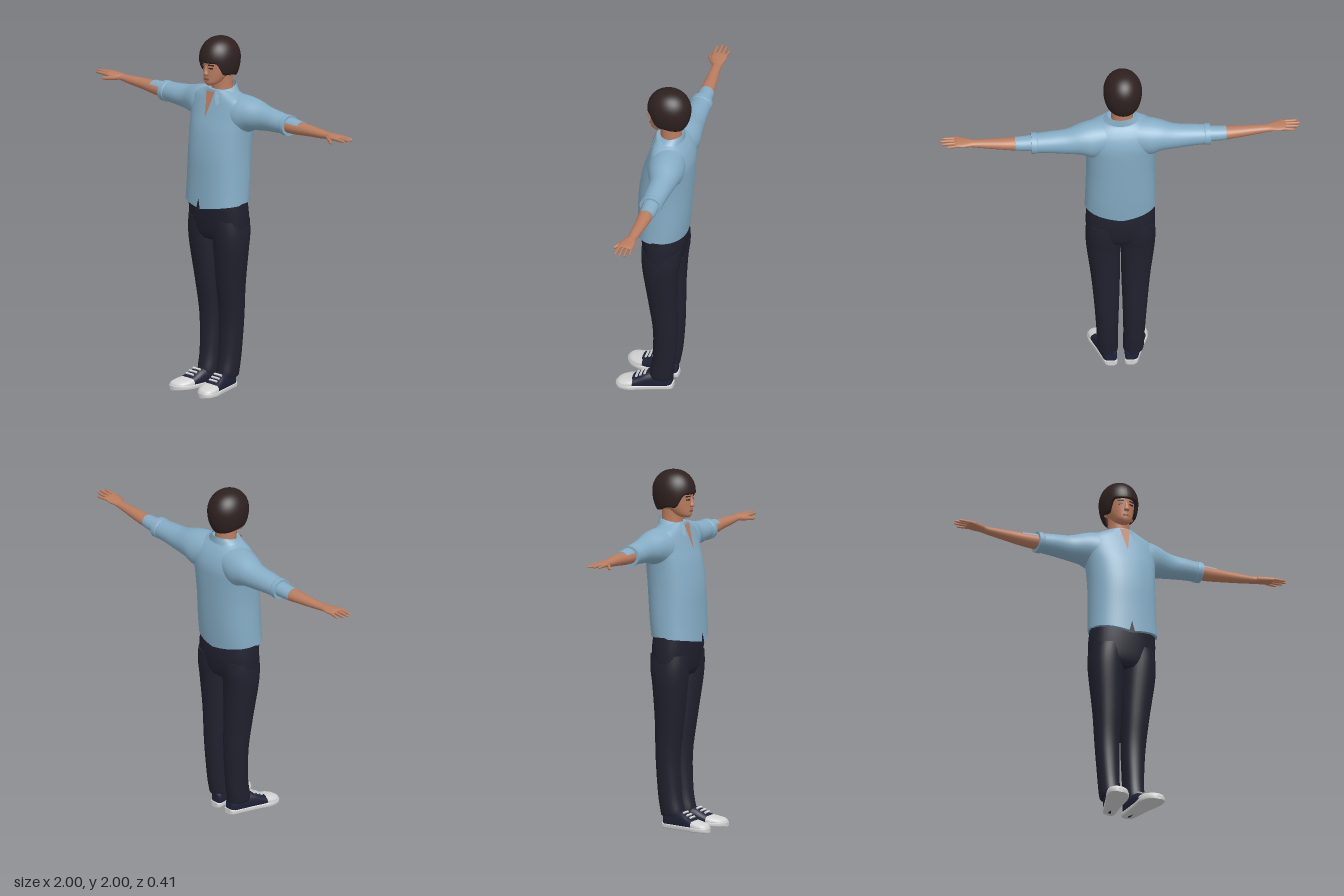
import * as THREE from 'three';

const mat = (name, color, side = THREE.FrontSide) => {
  const m = new THREE.MeshStandardMaterial({ color, side });
  m.name = name;
  return m;
};

// Catmull-Rom blend of neighbouring cross-section rows
function refine(rows, steps) {
  const out = [];
  const at = i => rows[Math.min(Math.max(i, 0), rows.length - 1)];
  for (let i = 0; i < rows.length - 1; i++) {
    for (let s = 0; s < steps; s++) {
      const t = s / steps, t2 = t * t, t3 = t2 * t;
      out.push(at(i).map((b, k) => {
        const a = at(i - 1)[k], c = at(i + 1)[k], d = at(i + 2)[k];
        return 0.5 * (2 * b + (c - a) * t + (2 * a - 5 * b + 4 * c - d) * t2 + (3 * b - a - 3 * c + d) * t3);
      }));
    }
  }
  out.push(rows[rows.length - 1].slice());
  return out;
}

// Rows are [position along axis, centreU, centreV, radiusU, radiusV]; n is the roundness exponent
function loft(axis, rows, { n = 2, seg = 32, steps = 4, bend } = {}) {
  const rings = refine(rows, steps), pos = [], idx = [];
  const place = (p, u, v) => {
    const q = axis === 'y' ? [u, p, v] : axis === 'x' ? [p, u, v] : [u, v, p];
    return bend ? bend(q) : q;
  };
  const tri = (a, b, c) => axis === 'y' ? idx.push(a, c, b) : idx.push(a, b, c);
  const sp = v => Math.sign(v) * Math.abs(v) ** (2 / n);
  const ring = ([p, cu, cv, ru, rv]) => {
    for (let j = 0; j < seg; j++) {
      const a = j / seg * Math.PI * 2;
      pos.push(...place(p, cu + Math.max(ru, 0.001) * sp(Math.cos(a)), cv + Math.max(rv, 0.001) * sp(Math.sin(a))));
    }
  };
  rings.forEach(ring);
  for (let i = 0; i < rings.length - 1; i++) for (let j = 0; j < seg; j++) {
    const k = (j + 1) % seg, a = i * seg + j, b = i * seg + k;
    tri(a, b, b + seg);
    tri(a, b + seg, a + seg);
  }
  // End caps with their own vertices keep the rim crisp
  for (const end of [0, rings.length - 1]) {
    const base = pos.length / 3, r = rings[end];
    ring(r);
    pos.push(...place(r[0], r[1], r[2]));
    for (let j = 0; j < seg; j++) {
      const a = base + j, b = base + (j + 1) % seg;
      end ? tri(base + seg, a, b) : tri(base + seg, b, a);
    }
  }
  return finish(pos, idx);
}

function finish(pos, idx) {
  const g = new THREE.BufferGeometry();
  g.setAttribute('position', new THREE.Float32BufferAttribute(pos, 3));
  g.setIndex(idx);
  g.computeVertexNormals();
  return g;
}

// Surface from a function of two parameters in 0..1
function grid(nu, nv, fn) {
  const pos = [], idx = [];
  for (let i = 0; i <= nv; i++) for (let j = 0; j <= nu; j++) pos.push(...fn(j / nu, i / nv));
  for (let i = 0; i < nv; i++) for (let j = 0; j < nu; j++) {
    const a = i * (nu + 1) + j, c = a + nu + 1;
    idx.push(a, c, a + 1, a + 1, c, c + 1);
  }
  return finish(pos, idx);
}

function mirrored(geo) {
  const g = geo.clone(), p = g.attributes.position, ix = g.index.array;
  for (let i = 0; i < p.count; i++) p.setX(i, -p.getX(i));
  for (let i = 0; i < ix.length; i += 3) [ix[i], ix[i + 1]] = [ix[i + 1], ix[i]];
  g.computeVertexNormals();
  return g;
}

export function createModel() {
  const root = new THREE.Group();
  root.name = 'standingMan';
  const shirt = mat('shirtBlue', 0x86adc6, THREE.DoubleSide);
  const denim = mat('trouserNavy', 0x20212e, THREE.DoubleSide);
  const skin = mat('skin', 0xbb7d5f, THREE.DoubleSide);
  const hair = mat('hairBrown', 0x2e2120, THREE.DoubleSide);
  const lip = mat('lips', 0x8c4c40);
  const white = mat('shoeWhite', 0xd2d2d2);
  const canvas = mat('shoeNavy', 0x1f2236);

  const add = (name, geo, m, x = 0) => {
    const mesh = new THREE.Mesh(geo, m);
    mesh.name = name;
    mesh.position.x = x;
    root.add(mesh);
    return mesh;
  };
  const pair = (name, geo, m, x = 0) => {
    add(name + 'Left', geo, m, x);
    add(name + 'Right', mirrored(geo), m, x);
  };
  const box = (w, h, d, x, y, z, rx = 0, ry = 0) =>
    new THREE.BoxGeometry(w, h, d).rotateX(rx).rotateY(ry).translate(x, y, z);
  const MID = -0.005, HEAD = -0.015;

  // Shirt body; the hem rises toward the sides
  add('shirtBody', loft('y', [
    [1.045, 0, -0.033, 0.197, 0.138], [1.2, 0, -0.043, 0.193, 0.143], [1.35, 0, -0.051, 0.19, 0.146],
    [1.48, 0, -0.065, 0.196, 0.14], [1.56, 0, -0.078, 0.208, 0.128], [1.62, 0, -0.08, 0.21, 0.11],
    [1.66, 0, -0.075, 0.185, 0.092], [1.69, 0, -0.068, 0.12, 0.075], [1.71, 0, -0.066, 0.075, 0.07],
  ], {
    n: 2.25, seg: 48,
    bend: ([x, y, z]) => [x, y + Math.max(0, 1.15 - y) / 0.105 * (0.16 * Math.abs(x) + (z < -0.03 ? 0.008 : 0)), z],
  }), shirt, MID);
  pair('sleeve', loft('x', [
    [0.05, 1.6, -0.085, 0.09, 0.095], [0.15, 1.582, -0.092, 0.107, 0.104], [0.22, 1.59, -0.101, 0.088, 0.09],
    [0.3, 1.585, -0.11, 0.07, 0.07], [0.4, 1.584, -0.108, 0.059, 0.063], [0.485, 1.582, -0.108, 0.053, 0.057],
  ]), shirt);
  pair('sleeveCuff', loft('x', [
    [0.462, 1.582, -0.107, 0.054, 0.058], [0.468, 1.582, -0.107, 0.058, 0.062], [0.495, 1.582, -0.107, 0.058, 0.062],
  ]), shirt);
  // Inner sleeve showing over the top and back of the forearm
  pair('innerSleeve', loft('x', [
    [0.48, 1.587, -0.11, 0.043, 0.047], [0.55, 1.586, -0.11, 0.039, 0.044], [0.585, 1.587, -0.109, 0.036, 0.041],
  ]), shirt);

  // Open collar with pointed front tips
  add('collar', grid(40, 4, (u, v) => {
    const gap = 0.3 + 0.25 * v, a = gap + u * (Math.PI * 2 - 2 * gap), c = Math.cos(a), f = Math.max(c, 0);
    const r = (p, q) => p + (q - p) * v;
    return [Math.sin(a) * r(0.074, 0.1), r(1.72 - 0.018 * c, 1.698 - 0.09 * f * f),
      -0.07 + c * r(0.08, c > 0 ? 0.118 : 0.084)];
  }), shirt, MID);
  const plate = (y0, y1, w0, w1, z0, z1) => grid(1, 4, (u, v) => [
    (u - 0.5) * (w0 + (w1 - w0) * v), y0 + (y1 - y0) * v, z0 + (z1 - z0) * v]);
  add('neckOpening', plate(1.7, 1.56, 0.06, 0.002, 0.013, 0.056), skin, -0.012);
  add('hemSlit', plate(1.1, 1.035, 0.002, 0.034, 0.109, 0.112), denim, -0.01);

  // Trousers
  add('trouserHips', loft('y', [
    [0.86, 0, -0.047, 0.15, 0.085], [0.9, 0, -0.046, 0.186, 0.105],
    [1.0, 0, -0.045, 0.192, 0.12], [1.1, 0, -0.036, 0.185, 0.12],
  ], { n: 2.3, seg: 40 }), denim, MID);
  pair('trouserLeg', loft('y', [
    [0.075, 0.07, -0.04, 0.055, 0.066], [0.1, 0.072, -0.042, 0.058, 0.068], [0.2, 0.074, -0.058, 0.059, 0.066],
    [0.4, 0.078, -0.067, 0.068, 0.068], [0.6, 0.084, -0.055, 0.08, 0.08], [0.8, 0.095, -0.046, 0.094, 0.097],
    [0.9, 0.097, -0.047, 0.096, 0.108], [0.98, 0.09, -0.047, 0.096, 0.11],
  ], { n: 2.15 }), denim, MID);

  // Shoes splay outward toward the toes
  const lean = z => 0.075 + 0.2 * z;
  const shoe = (rows, n) => loft('z', rows.map(([z, rx, y0, y1]) => [z, lean(z), (y0 + y1) / 2, rx, (y1 - y0) / 2]), { n });
  pair('shoeSole', shoe([
    [-0.107, 0.02, 0, 0.03], [-0.095, 0.036, 0, 0.03], [-0.04, 0.043, 0, 0.03], [0.05, 0.054, 0, 0.03],
    [0.12, 0.066, 0, 0.03], [0.17, 0.056, 0, 0.03], [0.195, 0.035, 0, 0.028], [0.205, 0.012, 0, 0.025],
  ], 5), white, MID);
  pair('shoeUpper', shoe([
    [-0.1, 0.02, 0.01, 0.085], [-0.085, 0.036, 0, 0.1], [-0.04, 0.043, 0, 0.112], [0.03, 0.05, 0, 0.102],
    [0.08, 0.055, 0, 0.077], [0.13, 0.058, 0, 0.055],
  ], 2.4), canvas, MID);
  pair('shoeToeCap', shoe([
    [0.105, 0.061, 0, 0.064], [0.14, 0.061, 0, 0.056], [0.175, 0.05, 0, 0.048], [0.195, 0.03, 0, 0.038], [0.202, 0.01, 0.01, 0.025],
  ], 2.4), white, MID);
  [[0.045, 0.098], [0.068, 0.086], [0.09, 0.075]].forEach(([z, y], i) =>
    pair('shoeLace' + (i + 1), box(0.058, 0.008, 0.011, lean(z), y, z, 0.5), white, MID));

  // Forearms, hands and fingers
  pair('forearm', loft('x', [
    [0.46, 1.583, -0.106, 0.042, 0.047], [0.55, 1.582, -0.106, 0.038, 0.043], [0.65, 1.586, -0.105, 0.031, 0.036],
    [0.75, 1.589, -0.099, 0.024, 0.029], [0.81, 1.592, -0.096, 0.019, 0.026], [0.835, 1.595, -0.092, 0.017, 0.032],
    [0.87, 1.597, -0.088, 0.015, 0.042], [0.905, 1.6, -0.086, 0.012, 0.042], [0.92, 1.6, -0.086, 0.007, 0.036],
  ]), skin);
  const finger = (name, x0, x1, yz0, yz1, r) => {
    const row = (t, k) => [x0 + (x1 - x0) * t, yz0[0] + (yz1[0] - yz0[0]) * t, yz0[1] + (yz1[1] - yz0[1]) * t, r * k, r * k];
    pair(name, loft('x', [row(0, 1), row(0.5, 0.95), row(0.9, 0.75), row(1, 0.1)], { seg: 10, steps: 3 }), skin);
  };
  finger('littleFinger', 0.89, 0.965, [1.599, -0.119], [1.596, -0.127], 0.008);
  finger('ringFinger', 0.89, 0.99, [1.6, -0.098], [1.6, -0.102], 0.009);
  finger('middleFinger', 0.89, 1.0, [1.601, -0.076], [1.602, -0.077], 0.009);
  finger('indexFinger', 0.89, 0.985, [1.6, -0.054], [1.6, -0.05], 0.009);
  finger('thumb', 0.825, 0.91, [1.592, -0.072], [1.583, -0.022], 0.012);

  // Neck and head
  add('neck', loft('y', [
    [1.65, 0, -0.075, 0.065, 0.062], [1.72, 0, -0.075, 0.06, 0.059], [1.8, 0, -0.07, 0.06, 0.062],
  ]), skin, -0.011);
  add('head', loft('y', [
    [1.738, 0, 0.008, 0.02, 0.025], [1.755, 0, -0.01, 0.044, 0.052], [1.79, 0, -0.035, 0.063, 0.078],
    [1.83, 0, -0.055, 0.075, 0.1], [1.88, 0, -0.06, 0.08, 0.108], [1.93, 0, -0.06, 0.078, 0.1], [1.97, 0, -0.06, 0.04, 0.05],
  ]), skin, HEAD);
  add('nose', loft('y', [
    [1.797, 0, 0.042, 0.012, 0.008], [1.806, 0, 0.046, 0.016, 0.016], [1.825, 0, 0.044, 0.011, 0.012], [1.855, 0, 0.04, 0.007, 0.008],
  ], { seg: 14 }), skin, HEAD);
  pair('ear', new THREE.SphereGeometry(1, 14, 10).scale(0.01, 0.027, 0.018).translate(0.078, 1.815, -0.065), skin, HEAD);
  pair('eye', box(0.024, 0.007, 0.006, 0.031, 1.84, 0.037, 0, 0.35), hair, HEAD);
  pair('eyebrow', box(0.034, 0.006, 0.007, 0.033, 1.859, 0.039, 0, 0.33), hair, HEAD);
  add('mouth', box(0.036, 0.009, 0.007, 0, 1.774, 0.042), lip, HEAD);

  // Bowl of hair, short over the brow and long at the nape, with the rim turned inward
  add('hair', grid(56, 22, (u, v) => {
    const a = u * Math.PI * 2, c = Math.cos(a);
    const side = THREE.MathUtils.smoothstep(0.8 - c, 0, 0.35);
    const limit = THREE.MathUtils.degToRad(93 + 27 * side + 14 * Math.max(-c, 0));
    const phi = Math.min(v * 22 / 21, 1) * limit, h = Math.cos(phi);
    const r = Math.sin(phi) ** 0.9 * (v === 1 ? 0.8 : 1);
    return [Math.sin(a) * r * 0.107, 1.88 + h * (h > 0 ? 0.12 : 0.16), -0.063 + c * r * 0.123];
  }), hair, -0.016);

  return root;
}
